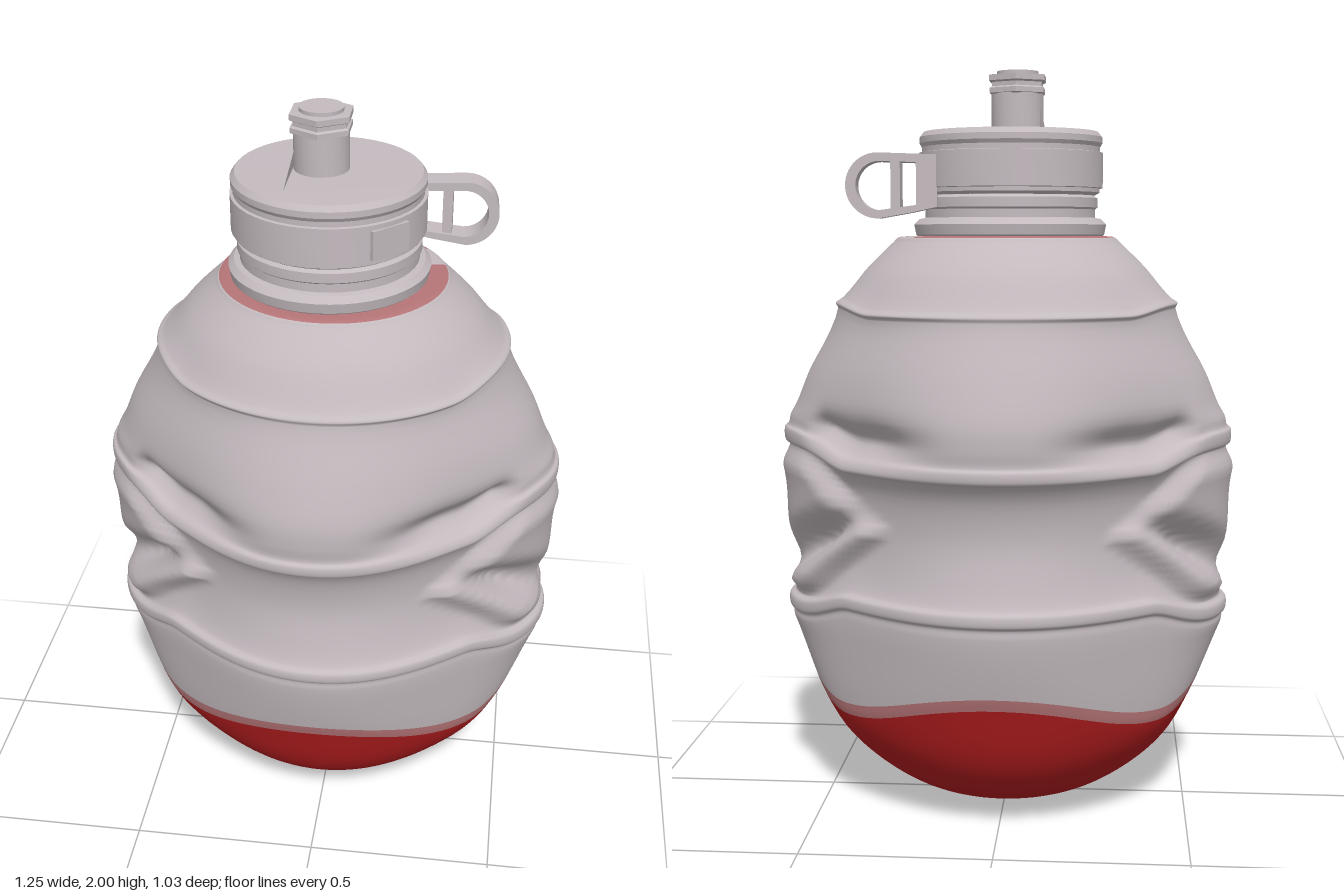
import * as THREE from 'three';
import { toCreasedNormals } from 'three/addons/utils/BufferGeometryUtils.js';

const grey = new THREE.MeshStandardMaterial({ color: 0xc4bbbf, side: THREE.DoubleSide });
grey.name = 'pale grey';
const red = new THREE.MeshStandardMaterial({ color: 0xb01c1e });
red.name = 'red';
const pink = new THREE.MeshStandardMaterial({ color: 0xb57577 });
pink.name = 'faded red';

const smooth = THREE.MathUtils.smoothstep;
const bump = (v, c, w) => Math.exp(-(((v - c) / w) ** 2));

// Body rows: height, half width, half depth, flattening of the four diagonals
const ROWS = [
  [0, 0.002, 0.002, 0], [0.015, 0.14, 0.115, 0], [0.06, 0.275, 0.23, 0.01], [0.14, 0.395, 0.33, 0.03],
  [0.22, 0.472, 0.385, 0.04], [0.325, 0.535, 0.427, 0.06], [0.358, 0.55, 0.437, 0.07], [0.46, 0.58, 0.455, 0.08],
  [0.56, 0.6, 0.47, 0.09], [0.585, 0.6, 0.47, 0.09], [0.597, 0.61, 0.482, 0.09], [0.622, 0.61, 0.482, 0.09],
  [0.635, 0.59, 0.468, 0.1], [0.7, 0.562, 0.448, 0.1], [0.8, 0.56, 0.433, 0.1], [0.9, 0.567, 0.45, 0.1],
  [0.952, 0.595, 0.485, 0.1], [0.963, 0.615, 0.51, 0.1], [0.99, 0.615, 0.512, 0.1], [1.0, 0.605, 0.502, 0.11],
  [1.04, 0.598, 0.505, 0.11], [1.1, 0.58, 0.503, 0.09], [1.2, 0.543, 0.475, 0.06], [1.35, 0.46, 0.424, 0.01],
  [1.363, 0.465, 0.428, 0], [1.38, 0.445, 0.412, 0], [1.47, 0.385, 0.362, 0], [1.55, 0.305, 0.298, 0],
  [1.56, 0.295, 0.29, 0], [1.565, 0.24, 0.24, 0],
];
const RED_END = 5, PINK_END = 6, NECK_START = 28;

// Push in or out of the wall at height y, deg degrees away from the side
function dents(y, deg) {
  // hollow under each brow above the upper rib
  const brow = smooth(deg, 23, 31) * (1 - smooth(deg, 50, 82)) * bump(y, 1.04, 0.045);
  // raised side panel, narrowing up and down, with a V-shaped crease
  const edge = 54 - 31 * Math.min(1, Math.abs(y - 0.8) / 0.165);
  const panel = (1 - smooth(deg, edge - 7, edge + 5)) * smooth(y, 0.63, 0.67) * (1 - smooth(y, 0.91, 0.965));
  const crease = bump(y, 0.68 + 0.15 * deg / 45, 0.042) * (0.3 + 0.7 * bump(deg, 22, 15));
  return panel * (0.052 - 0.095 * crease) - 0.045 * brow;
}

function makeBody() {
  const around = 216, sub = 5;
  const curve = new THREE.CatmullRomCurve3(ROWS.map(([y, a, b]) => new THREE.Vector3(a, y, b)));
  const rows = (ROWS.length - 1) * sub;
  const pos = [], lists = [[], [], []];
  for (let j = 0; j <= rows; j++) {
    const p = curve.getPoint(j / rows);
    const k = Math.min(Math.floor(j / sub), ROWS.length - 2);
    const flat = THREE.MathUtils.lerp(ROWS[k][3], ROWS[k + 1][3], j / sub - k);
    for (let i = 0; i < around; i++) {
      const t = (i / around) * Math.PI * 2;
      const c = Math.cos(t), s = Math.sin(t);
      const deg = THREE.MathUtils.radToDeg(Math.atan2(Math.abs(s), Math.abs(c)));
      const side = smooth(Math.abs(c), 0.72, 0.97);
      // ribs swing apart at the sides, the colour edge dips at the corners
      const wave = deg < 35 ? deg / 35 : (90 - deg) / 55;
      const y = p.y + side * (0.055 * bump(p.y, 0.99, 0.09) - 0.05 * bump(p.y, 0.6, 0.09)
        + 0.022 * bump(p.y, 1.365, 0.06)) + 0.04 * Math.cos(Math.PI * wave) * bump(p.y, 0.34, 0.11);
      const push = dents(p.y, deg);
      const scale = 1 - flat * Math.sin(2 * t) ** 2;
      pos.push((p.x * scale + push) * c, y, (p.z * scale + push) * s);
    }
  }
  for (let j = 0; j < rows; j++) {
    for (let i = 0; i < around; i++) {
      const n = (i + 1) % around, a = j * around, b = a + around;
      const t = (i / around) * 360;
      let m = 0;
      if (j < RED_END * sub) m = 1;
      else if (j < PINK_END * sub) m = 2;
      else if (j >= NECK_START * sub && !(t > 320 && t < 342)) m = 2;
      lists[m].push(a + i, b + i, a + n, a + n, b + i, b + n);
    }
  }
  const geo = new THREE.BufferGeometry();
  geo.setAttribute('position', new THREE.Float32BufferAttribute(pos, 3));
  geo.setIndex(lists.flat());
  let start = 0;
  lists.forEach((list, m) => {
    geo.addGroup(start, list.length, m);
    start += list.length;
  });
  geo.computeVertexNormals();
  return new THREE.Mesh(geo, [grey, red, pink]);
}

const lathe = (points, sides) =>
  toCreasedNormals(new THREE.LatheGeometry(points.map(([r, y]) => new THREE.Vector2(r, y)), sides), 0.5);

export function createModel() {
  const model = new THREE.Group();
  model.name = 'crumpledBottle';
  const add = (name, geo, x = 0, y = 0, z = 0) => {
    const mesh = new THREE.Mesh(geo, grey);
    mesh.name = name;
    mesh.position.set(x, y, z);
    model.add(mesh);
    return mesh;
  };

  const body = makeBody();
  body.name = 'body';
  model.add(body);

  // Neck collar and cap
  add('neck', lathe([[0.24, 1.555], [0.255, 1.568], [0.26, 1.595], [0.245, 1.61], [0.23, 1.613],
    [0.23, 1.635], [0.236, 1.64], [0.236, 1.665], [0.226, 1.672], [0.226, 1.7]], 48), -0.01);
  add('cap', lathe([[0.226, 1.672], [0.24, 1.68], [0.24, 1.8], [0.246, 1.81], [0.246, 1.826],
    [0.235, 1.84], [0, 1.844]], 48), -0.012);
  add('capStrap', lathe([[0.238, 1.69], [0.248, 1.692], [0.248, 1.785], [0.238, 1.787]], 48), -0.012);

  // Drinking spout
  add('spoutStem', lathe([[0.07, 1.84], [0.07, 1.945]], 24), -0.03);
  add('spoutCollar', lathe([[0.066, 1.938], [0.083, 1.942], [0.083, 1.955], [0.076, 1.959], [0.076, 1.97],
    [0.085, 1.974], [0.085, 1.989], [0.05, 1.991]], 6), -0.03);
  add('spoutTip', lathe([[0.056, 1.98], [0.056, 2], [0, 2]], 24), -0.03);

  // Thin fin beside the spout
  const fin = new THREE.BufferGeometry();
  fin.setAttribute('position', new THREE.Float32BufferAttribute(
    [-0.1, 1.843, 0.165, -0.1, 1.843, -0.2, -0.09, 1.92, -0.01], 3));
  fin.computeVertexNormals();
  add('fin', fin);

  // Carrying loop, its crossbar and the strap clasp
  const outline = new THREE.Shape();
  outline.moveTo(0.17, 1.775);
  outline.lineTo(0.17, 1.64);
  outline.lineTo(0.24, 1.625);
  outline.lineTo(0.325, 1.61);
  outline.absarc(0.325, 1.695, 0.085, -Math.PI / 2, Math.PI / 2);
  outline.lineTo(0.17, 1.775);
  const hole = new THREE.Path();
  hole.moveTo(0.225, 1.755);
  hole.lineTo(0.32, 1.758);
  hole.absarc(0.32, 1.695, 0.063, Math.PI / 2, -Math.PI / 2, true);
  hole.lineTo(0.225, 1.645);
  hole.lineTo(0.225, 1.755);
  outline.holes.push(hole);
  const loop = toCreasedNormals(new THREE.ExtrudeGeometry(outline,
    { depth: 0.07, bevelEnabled: false, curveSegments: 16 }), 0.6);
  add('carryLoop', loop, 0, 0, -0.155).rotation.y = 0.06;
  add('loopCrossbar', new THREE.BoxGeometry(0.025, 0.13, 0.05), 0.28, 1.7, -0.137);
  add('strapClasp', new THREE.BoxGeometry(0.11, 0.075, 0.02), 0.156, 1.735, 0.175).rotation.y = 0.76;
  return model;
}
